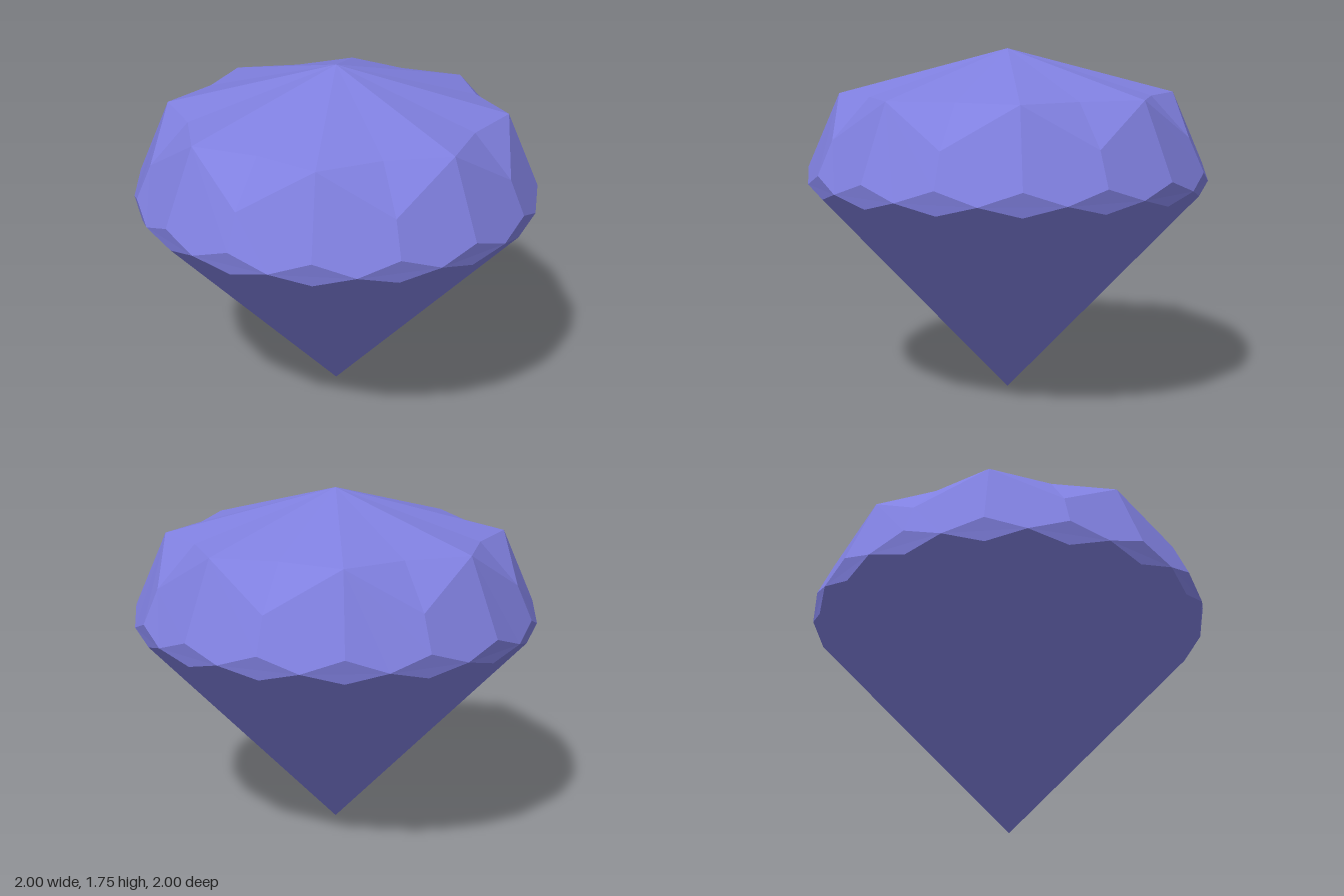
import * as THREE from 'three';

const STEP = Math.PI / 8; // sixteen divisions around the stone

// Point on a ring: i counts sixteenths of a turn from the front towards +x
const ring = (radius, y) => (i) =>
  [radius * Math.sin(i * STEP), y, radius * Math.cos(i * STEP)];

const peak = [0, 1.75, 0];
const tip = [0, 0, 0];
const tableOuter = ring(0.84, 1.53);   // even steps
const tableInner = ring(0.735, 1.53);  // odd steps
const crownMid = ring(0.925, 1.33);    // odd steps
const girdleTop = ring(1.0, 1.165);    // every step
const girdleSide = ring(1.007, 1.1);   // half steps
const girdleLow = ring(0.98, 1.05);    // every step

// Flat convex facets, corners counter-clockwise from outside
function facetMesh(name, facets, material) {
  const positions = [];
  for (const f of facets)
    for (let k = 1; k < f.length - 1; k++) positions.push(...f[0], ...f[k], ...f[k + 1]);
  const geometry = new THREE.BufferGeometry();
  geometry.setAttribute('position', new THREE.Float32BufferAttribute(positions, 3));
  geometry.computeVertexNormals();
  const mesh = new THREE.Mesh(geometry, material);
  mesh.name = name;
  return mesh;
}

export function createModel() {
  const group = new THREE.Group();
  group.name = 'gem';
  const material = new THREE.MeshStandardMaterial({ color: 0x8080e0, flatShading: true });
  const table = [], stars = [], crown = [], girdle = [], pavilion = [];

  // Crown, repeated eight times
  for (let i = 0; i < 16; i += 2) {
    const a = tableOuter(i), b = tableOuter(i + 2);
    const notch = tableInner(i + 1), mid = crownMid(i + 1);
    table.push([a, notch, peak], [notch, b, peak]);
    stars.push([a, mid, notch], [mid, b, notch]);
    crown.push(
      [a, girdleTop(i), girdleSide(i + 0.5), girdleTop(i + 1), mid],
      [mid, girdleTop(i + 1), girdleSide(i + 1.5), girdleTop(i + 2), b]
    );
  }

  // Girdle diamonds and long lower facets, repeated sixteen times
  for (let i = 0; i < 16; i++) {
    girdle.push([girdleSide(i - 0.5), girdleLow(i), girdleSide(i + 0.5), girdleTop(i)]);
    pavilion.push([tip, girdleLow(i + 1), girdleSide(i + 0.5), girdleLow(i)]);
  }

  group.add(
    facetMesh('table', table, material),
    facetMesh('starFacets', stars, material),
    facetMesh('crown', crown, material),
    facetMesh('girdle', girdle, material),
    facetMesh('pavilion', pavilion, material)
  );
  return group;
}
